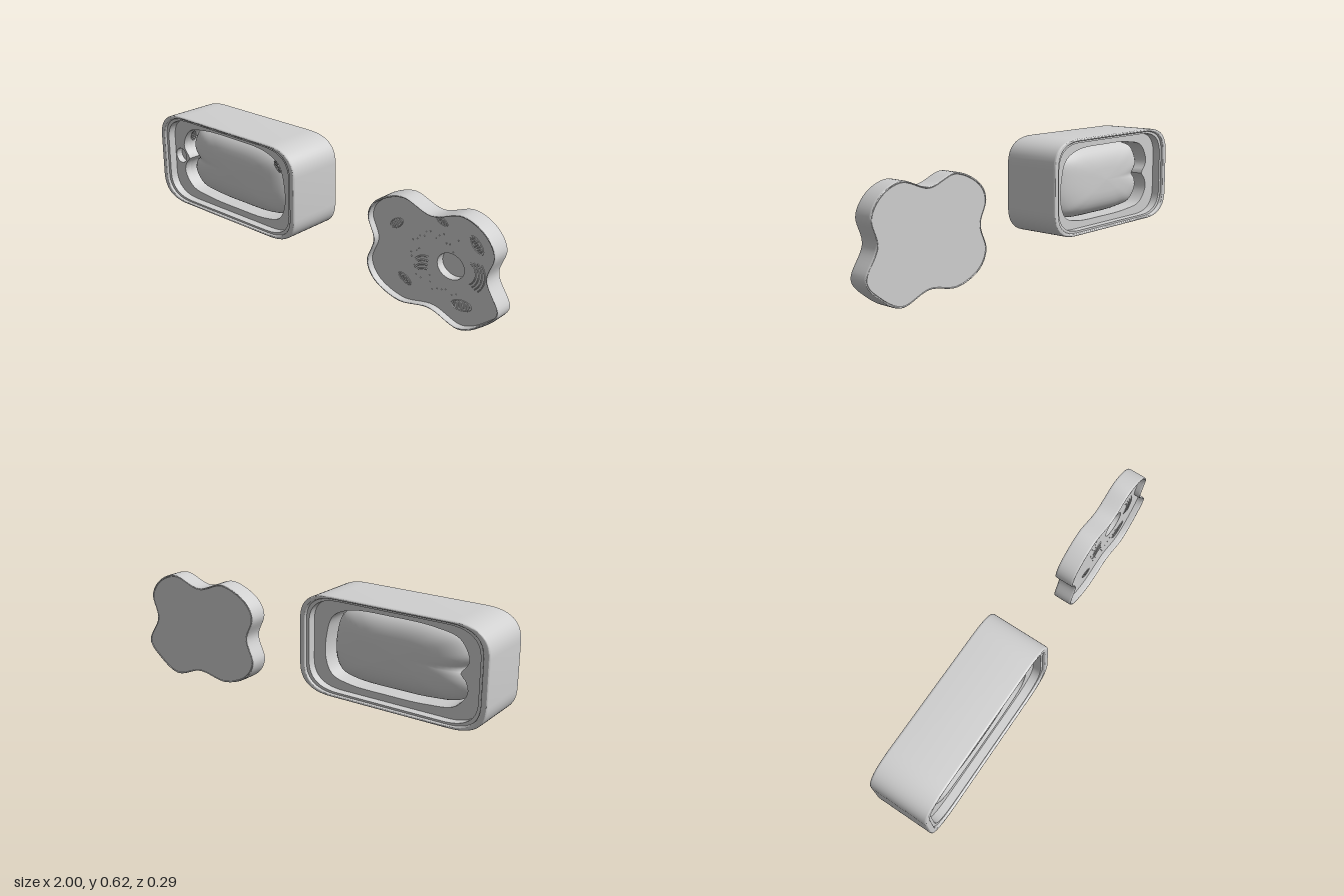
import * as THREE from 'three';
import { toCreasedNormals } from 'three/addons/utils/BufferGeometryUtils.js';

const grey = new THREE.MeshStandardMaterial({ color: 0xd0d0d0 });
grey.name = 'plain grey';

const BOX = { x: -0.53, y: 0.383, w: 0.94, h: 0.469 };

const vacuolePoints = [
  [-0.884, 0.447], [-0.838, 0.527], [-0.718, 0.556], [-0.518, 0.562], [-0.298, 0.551], [-0.208, 0.508],
  [-0.176, 0.418], [-0.173, 0.308], [-0.208, 0.238], [-0.298, 0.211], [-0.498, 0.205], [-0.698, 0.21],
  [-0.828, 0.233], [-0.883, 0.303], [-0.873, 0.35], [-0.846, 0.383], [-0.873, 0.416],
];
const animalPoints = [
  [0.297, 0.388], [0.33, 0.46], [0.482, 0.53], [0.642, 0.487], [0.803, 0.53], [0.913, 0.484],
  [0.966, 0.4], [0.936, 0.28], [1.0, 0.142], [0.931, 0.062], [0.812, 0], [0.652, 0.045],
  [0.48, 0.023], [0.34, 0.08], [0.297, 0.16], [0.334, 0.28],
];

function mesh(name, geometry, parent) {
  const m = new THREE.Mesh(geometry, grey);
  m.name = name;
  parent.add(m);
  return m;
}

// Smooth closed loop through points, scaled about its own middle, counter-clockwise
function loop(points, n, sx = 1, sy = sx) {
  const curve = new THREE.CatmullRomCurve3(points.map(([x, y]) => new THREE.Vector3(x, y, 0)), true);
  const pts = curve.getSpacedPoints(n).slice(0, n).reverse();
  const c = new THREE.Box3().setFromPoints(pts).getCenter(new THREE.Vector3());
  return pts.map((p) => new THREE.Vector2(c.x + (p.x - c.x) * sx, c.y + (p.y - c.y) * sy));
}

// Soft-cornered rectangle of the box, inset on each axis
function softRect(dx, dy, rx, ry) {
  const a = BOX.w / 2 - dx, b = BOX.h / 2 - dy, { x, y } = BOX;
  const s = new THREE.Shape();
  s.moveTo(x - a + rx, y - b);
  s.lineTo(x + a - rx, y - b);
  s.quadraticCurveTo(x + a, y - b, x + a, y - b + ry);
  s.lineTo(x + a, y + b - ry);
  s.quadraticCurveTo(x + a, y + b, x + a - rx, y + b);
  s.lineTo(x - a + rx, y + b);
  s.quadraticCurveTo(x - a, y + b, x - a, y + b - ry);
  s.lineTo(x - a, y - b + ry);
  s.quadraticCurveTo(x - a, y - b, x - a + rx, y - b);
  return s.getPoints(14);
}

function ellipse(x, y, rx, ry) {
  return new THREE.Path().absellipse(x, y, rx, ry, 0, Math.PI * 2).getPoints(20).slice(0, -1);
}

// Plate from z0 to z1 with optional holes and softened edges
function slab(outline, holes, z0, z1, bevel = 0, inset = 0) {
  const shape = new THREE.Shape(outline);
  shape.holes = holes.map((h) => new THREE.Path(h));
  const geo = new THREE.ExtrudeGeometry(shape, {
    depth: z1 - z0 - 2 * bevel, bevelEnabled: bevel > 0,
    bevelThickness: bevel, bevelSize: inset, bevelOffset: -inset, bevelSegments: 4,
  });
  geo.translate(0, 0, z0 + bevel);
  return toCreasedNormals(geo, 0.7);
}

// Pillow swelling to both sides inside a closed outline
function pillow(outline, cx, cy, h) {
  const n = outline.length, rows = 20, pos = [], index = [];
  for (let j = 0; j <= rows; j++) {
    const v = (j / rows) * Math.PI;
    const r = Math.pow(Math.max(Math.sin(v), 0), 0.6);
    for (const p of outline) pos.push(cx + (p.x - cx) * r, cy + (p.y - cy) * r, h * Math.cos(v));
  }
  for (let j = 0; j < rows; j++) {
    for (let i = 0; i < n; i++) {
      const a = j * n + i, b = j * n + ((i + 1) % n);
      index.push(a, a + n, b, b, a + n, b + n);
    }
  }
  const geo = new THREE.BufferGeometry();
  geo.setAttribute('position', new THREE.Float32BufferAttribute(pos, 3));
  geo.setIndex(index);
  geo.computeVertexNormals();
  return geo;
}

// Small oval organelle: raised rim with folds across it
function organelle(name, parent, x, y, z, size, angle) {
  const g = new THREE.Group();
  g.name = name;
  const rim = mesh('organelleRim', new THREE.TorusGeometry(1, 0.1, 6, 28), g);
  rim.scale.set(size, size * 0.5, size * 0.6);
  for (let i = -3; i <= 3; i++) {
    const half = size * 0.4 * Math.sqrt(1 - (i / 4) ** 2);
    const fold = mesh('organelleFold', new THREE.CapsuleGeometry(size * 0.06, half * 1.3, 3, 6), g);
    fold.position.set((i / 4) * size, (i % 2 ? 1 : -1) * half * 0.2, 0);
  }
  g.position.set(x, y, z);
  g.rotation.z = angle;
  parent.add(g);
}

function arcTube(name, parent, cx, cy, z, r, a0, a1, thick) {
  const pts = [];
  for (let i = 0; i <= 8; i++) {
    const a = a0 + ((a1 - a0) * i) / 8;
    pts.push(new THREE.Vector3(cx + r * Math.cos(a), cy + r * 0.9 * Math.sin(a), z));
  }
  mesh(name, new THREE.TubeGeometry(new THREE.CatmullRomCurve3(pts), 16, thick, 6), parent);
}

function plantCell() {
  const g = new THREE.Group();
  g.name = 'plantCell';
  const wallInner = softRect(0.03, 0.013, 0.16, 0.12);
  const membraneInner = softRect(0.045, 0.022, 0.16, 0.12);
  mesh('cellWall', slab(softRect(0, 0, 0.17, 0.13), [wallInner], -0.147, 0.147, 0.01, 0.005), g);
  mesh('cellMembrane', slab(wallInner, [membraneInner], -0.135, 0.135), g);

  // Cytoplasm frame with the vacuole opening and a socket for the nucleus
  const opening = loop(vacuolePoints, 120, 1.006, 1.012);
  const nucleus = ellipse(-0.912, 0.382, 0.038, 0.038);
  mesh('cytoplasmBack', slab(membraneInner, [opening], -0.095, 0.06), g);
  mesh('cytoplasmFront', slab(membraneInner, [opening, nucleus], 0.06, 0.095), g);

  mesh('vacuole', pillow(loop(vacuolePoints, 120, 0.993, 0.987), -0.528, 0.384, 0.1), g);
  organelle('chloroplastLeft', g, -0.834, 0.502, 0.072, 0.029, 1.05);
  organelle('chloroplastRight', g, -0.235, 0.487, 0.072, 0.029, -0.9);
  return g;
}

function animalCell() {
  const g = new THREE.Group();
  g.name = 'animalCell';
  const face = 0.015;
  const outer = loop(animalPoints, 140), inner = loop(animalPoints, 140, 0.975, 0.967);
  const nucleus = ellipse(0.733, 0.266, 0.07, 0.06);
  mesh('membraneRim', slab(outer, [inner], -0.047, 0.047, 0.01, 0.003), g);
  mesh('cytoplasm', slab(inner, [nucleus], -0.046, face), g);
  mesh('nucleusFloor', slab(nucleus, [], -0.046, -0.025), g);

  // Mitochondria: x, y, size, angle
  [[0.438, 0.38, 0.038, 0.6], [0.677, 0.46, 0.03, -0.4], [0.856, 0.404, 0.042, -0.85],
    [0.493, 0.126, 0.036, -0.45], [0.798, 0.101, 0.049, 0.15],
  ].forEach(([x, y, s, a]) => organelle('mitochondrion', g, x, y, face, s, a));

  // Stacked folds on either side of the nucleus
  for (let i = 0; i < 4; i++) {
    arcTube('stackedArc', g, 0.79, 0.265, face, 0.07 + i * 0.015, -0.9 + i * 0.05, 0.95 - i * 0.12, 0.003);
    arcTube('reticulumFold', g, 0.61, 0.145 + i * 0.02, face, 0.075, 1.5, 2.3 + (i % 2) * 0.25, 0.004);
  }

  // Ribosome grains scattered around the middle
  let seed = 7;
  const rand = () => (seed = (seed * 16807) % 2147483647) / 2147483647;
  for (let i = 0; i < 30; i++) {
    const a = 0.9 + i * 0.15, r = 0.1 + rand() * 0.08;
    const grain = mesh('ribosome', new THREE.SphereGeometry(0.0028, 8, 6), g);
    grain.position.set(0.68 + r * Math.cos(a), 0.27 + r * 0.85 * Math.sin(a), face);
  }
  return g;
}

export function createModel() {
  const model = new THREE.Group();
  model.name = 'cellModels';
  model.add(plantCell(), animalCell());
  return model;
}
